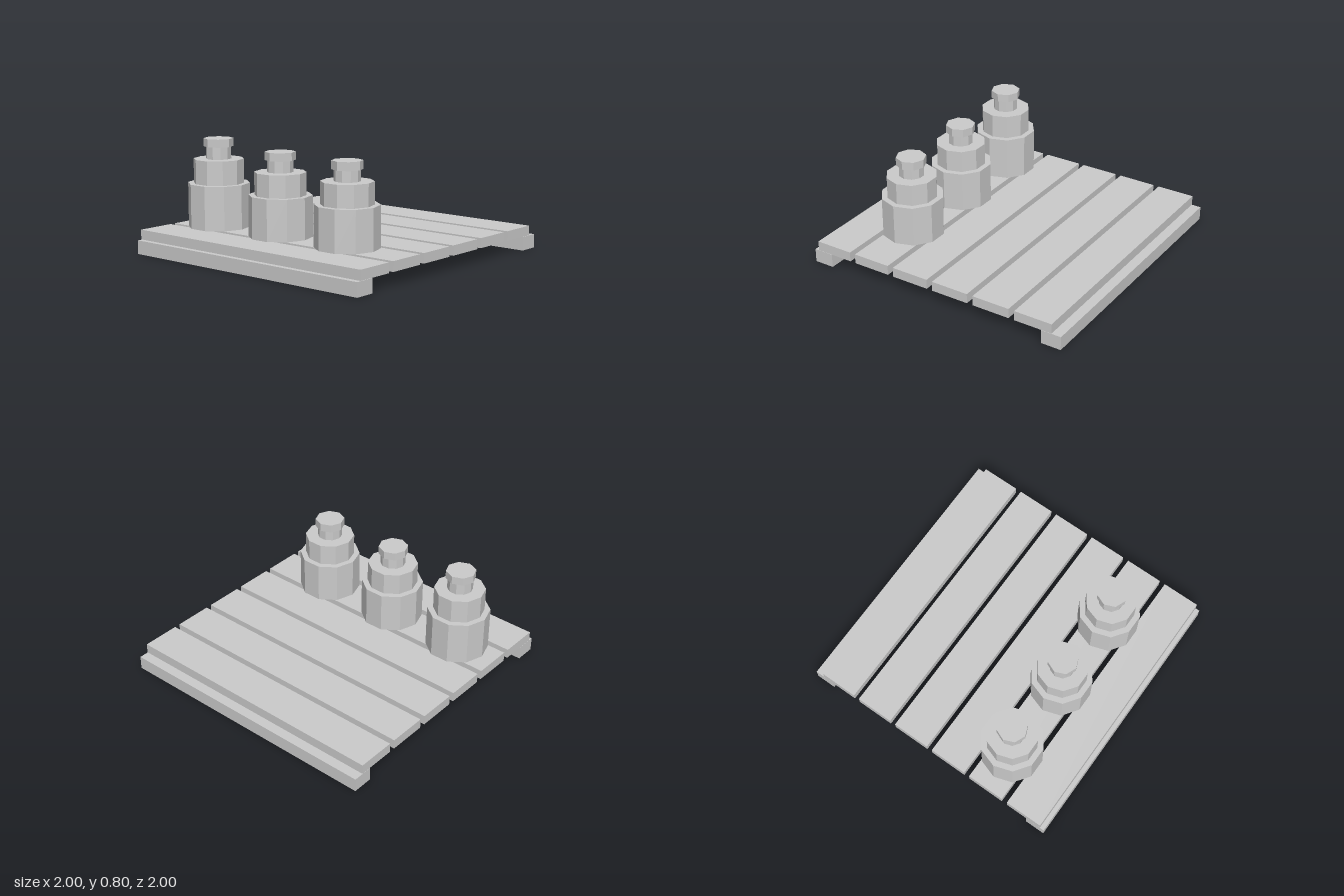
import * as THREE from 'three';

const material = new THREE.MeshStandardMaterial({ color: 0xcccccc, flatShading: true });

function addBox(parent, name, size, position) {
  const mesh = new THREE.Mesh(new THREE.BoxGeometry(...size), material);
  mesh.name = name;
  mesh.position.set(...position);
  parent.add(mesh);
}

// Upright prism with a corner pointing along x
function addPrism(parent, name, radius, bottom, top, sides) {
  const geometry = new THREE.CylinderGeometry(radius, radius, top - bottom, sides, 1, false, Math.PI / 2);
  const mesh = new THREE.Mesh(geometry, material);
  mesh.name = name;
  mesh.position.y = (bottom + top) / 2;
  parent.add(mesh);
}

// Stepped bottle; heights are the tops of body, shoulder, neck and cap
function makeBottle(x, [body, shoulder, neck, cap]) {
  const bottle = new THREE.Group();
  bottle.name = 'bottle';
  bottle.position.set(x, 0, 0.507);
  addPrism(bottle, 'bottleBody', 0.222, 0.17, body, 10);
  addPrism(bottle, 'bottleShoulder', 0.18, body, shoulder, 10);
  addPrism(bottle, 'bottleNeck', 0.09, shoulder, neck, 10);
  addPrism(bottle, 'bottleCap', 0.106, neck, cap, 8);
  return bottle;
}

export function createModel() {
  const model = new THREE.Group();
  model.name = 'plankShelfWithBottles';

  // Six slats with narrow gaps
  for (let i = 0; i < 6; i++) {
    addBox(model, 'plank', [2, 0.07, 0.28], [0, 0.135, 0.828 - i * 0.3236]);
  }

  // Rails under the front and back edges
  for (const side of [1, -1]) {
    addBox(model, side > 0 ? 'frontRail' : 'backRail', [2, 0.098, 0.147], [0, 0.049, side * 0.9265]);
  }

  // Row of bottles
  model.add(makeBottle(-0.682, [0.485, 0.657, 0.745, 0.802]));
  model.add(makeBottle(-0.088, [0.46, 0.618, 0.7, 0.757]));
  model.add(makeBottle(0.508, [0.46, 0.615, 0.693, 0.752]));

  return model;
}
